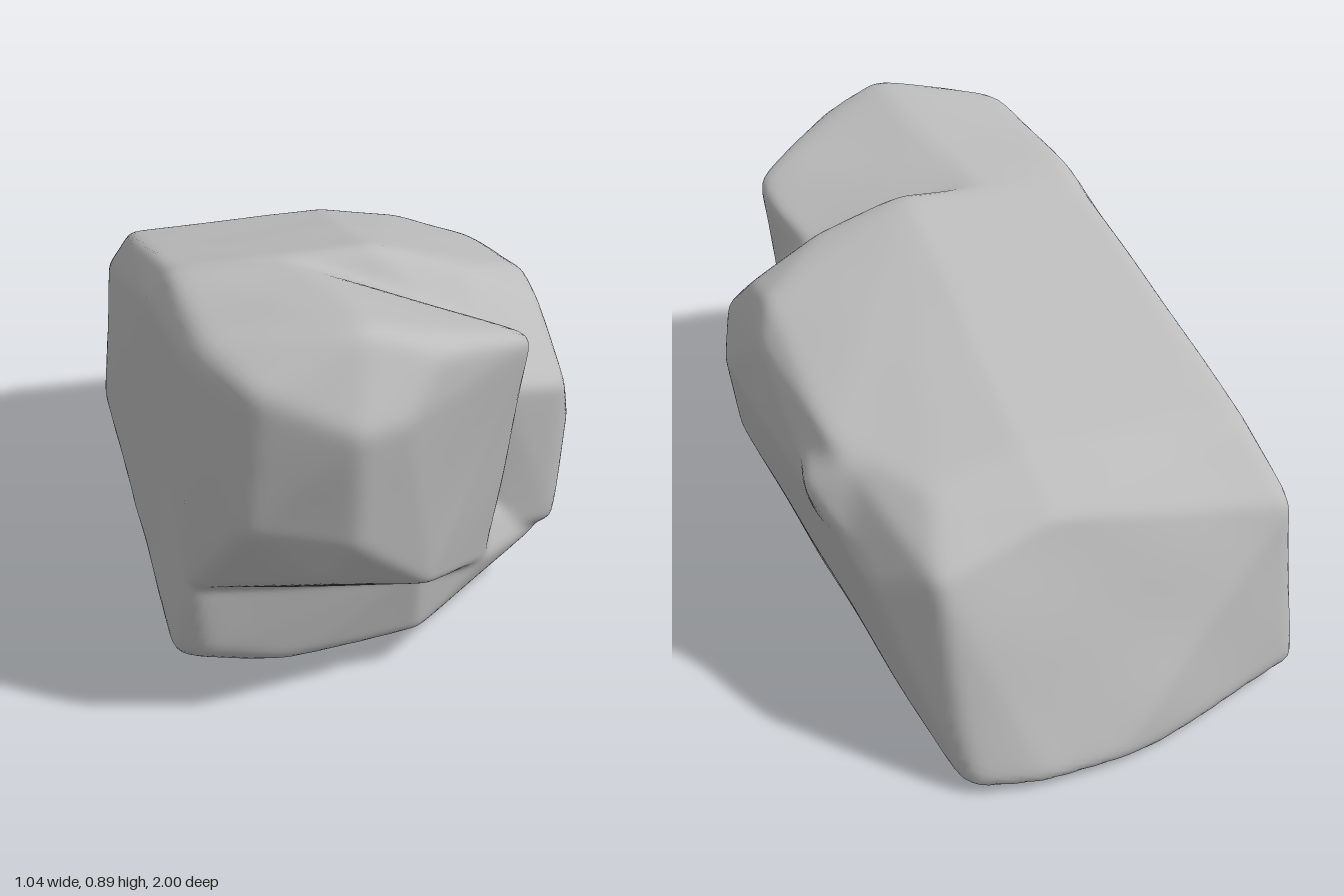
import * as THREE from 'three';
import { mergeVertices } from 'three/addons/utils/BufferGeometryUtils.js';
import { ConvexGeometry } from 'three/addons/geometries/ConvexGeometry.js';

const CENTRE = new THREE.Vector3(-0.05, 0.38, 0.05);
const ALLOWANCE = 0.004; // stone left on each face for the wear to remove

// Corner points of the overlapping blocks the boulder is cut from
const mainBlock = [
  [-0.5, 0.05, -0.87], [0.03, 0.03, -1], [0.18, 0.02, -1], [0.35, 0.02, -0.96], [-0.1, 0.01, -0.96],
  [-0.47, 0.46, -0.83], [-0.43, 0.6, -0.68], [0.1, 0.55, -0.81], [0.37, 0.48, -0.84],
  [0.1, 0.63, -0.66], [0.32, 0.59, -0.68], [0.46, 0.4, -0.7], [0.49, 0.48, -0.45],
  [0.45, 0.61, -0.42], [0.47, 0.64, 0], [0.42, 0.7, 0.1], [0.34, 0.01, 0.05],
  [0.41, 0.19, 0.43], [0.46, 0.42, 0.36], [0.42, 0.53, 0.44], [0.41, 0.67, 0.25],
  [0.25, 0.19, 0.47], [0.25, 0.57, 0.51], [0.22, 0.77, 0.27], [0, 0.84, 0.26],
  [-0.45, 0.82, 0.26], [-0.51, 0.04, 0.4], [-0.5, 0.75, 0.26],
];
const sideKnob = [
  [0.525, 0.53, -0.45], [0.48, 0.54, -0.33], [0.47, 0.44, -0.6], [0.44, 0.6, -0.5], [0.48, 0.42, -0.38],
  [0.2, 0.2, 0.2], [0.2, 0.6, 0.2], [-0.2, 0.3, 0.2], [-0.2, 0.5, 0.2], [-0.2, 0.3, -0.2], [-0.2, 0.5, -0.2],
];
const lowerLedge = [
  [-0.525, 0.05, 0.6], [-0.48, 0.1, 0.7], [-0.3, 0.06, 0.7], [0, 0.1, 0.7],
  [0.2, 0.18, 0.57], [-0.5, 0.26, 0.71], [0, 0.26, 0.73], [0.34, 0.06, 0.3],
  [0.38, 0.16, 0.4], [-0.5, 0.03, -0.2], [0.32, 0.02, -0.1], [-0.45, 0.5, -0.2],
  [0.4, 0.5, -0.2], [-0.5, 0.4, 0.5], [0.1, 0.35, 0.6],
];
const frontBlock = [
  [-0.2, 0.72, 1.005], [-0.2, 0.47, 0.97], [-0.1, 0.72, 0.965], [-0.25, 0.36, 0.9],
  [-0.4, 0.8, 0.935], [-0.42, 0.5, 0.92], [-0.5, 0.82, 0.77], [-0.5, 0.28, 0.72],
  [0, 0.83, 0.88], [0, 0.27, 0.8], [0.255, 0.76, 0.675], [0.2, 0.18, 0.57],
  [0.255, 0.72, 0.56], [0.2, 0.2, 0.46], [-0.16, 0.905, 0.9], [-0.47, 0.86, 0.77],
  [-0.15, 0.865, 0.6], [-0.46, 0.83, 0.3], [-0.2, 0.83, 0.3], [0.2, 0.66, 0.35],
  [-0.5, 0.74, 0.2], [0.1, 0.6, 0], [-0.5, 0.2, 0.2], [0.1, 0.1, 0], [-0.45, 0.7, 0],
];

// Face planes of the convex block around a set of corners
function blockPlanes(points) {
  const p = new ConvexGeometry(points.map(c => new THREE.Vector3(...c).sub(CENTRE))).attributes.position;
  const planes = [];
  for (let i = 0; i < p.count; i += 3) {
    const [a, b, c] = [0, 1, 2].map(k => new THREE.Vector3().fromBufferAttribute(p, i + k));
    const n = b.clone().sub(a).cross(c.sub(a)).normalize();
    if (n.lengthSq() > 0.5) planes.push({ n, d: n.dot(a) + ALLOWANCE });
  }
  return planes;
}

// Distance from the centre to the outside of one block
function reach(planes, dir) {
  let r = 3;
  for (const { n, d } of planes) {
    const k = n.dot(dir);
    if (k > 1e-4) r = Math.min(r, d / k);
  }
  return r;
}

// Averages each vertex with its neighbours to wear down the edges
function wear(geometry, passes) {
  const pos = geometry.attributes.position, index = geometry.index.array;
  for (let pass = 0; pass < passes; pass++) {
    const sum = new Float32Array(pos.count * 3), count = new Float32Array(pos.count);
    for (let t = 0; t < index.length; t += 3) {
      for (let k = 0; k < 3; k++) {
        const a = index[t + k], b = index[t + (k + 1) % 3];
        for (let c = 0; c < 3; c++) sum[a * 3 + c] += pos.getComponent(b, c);
        count[a]++;
      }
    }
    for (let i = 0; i < pos.count; i++)
      for (let c = 0; c < 3; c++)
        pos.setComponent(i, c, 0.4 * pos.getComponent(i, c) + 0.6 * sum[i * 3 + c] / count[i]);
  }
}

export function createModel() {
  const group = new THREE.Group();
  group.name = 'boulder';
  const stone = new THREE.MeshStandardMaterial({ color: 0xbcbcbc });
  stone.name = 'grey stone';

  let geometry = new THREE.IcosahedronGeometry(1, 54);
  geometry.deleteAttribute('uv');
  geometry.deleteAttribute('normal');
  geometry = mergeVertices(geometry, 1e-4);

  // Push a sphere out to the union of the blocks, with a little unevenness
  const blocks = [mainBlock, sideKnob, lowerLedge, frontBlock].map(blockPlanes);
  const pos = geometry.attributes.position, v = new THREE.Vector3();
  for (let i = 0; i < pos.count; i++) {
    v.fromBufferAttribute(pos, i);
    v.set(v.x * 0.55, v.y * 0.45, v.z).normalize();
    v.multiplyScalar(Math.max(...blocks.map(b => reach(b, v))));
    const bump = Math.sin(9 * v.x + 4 * v.z) * Math.sin(11 * v.y - 5 * v.x + 1) * Math.cos(8 * v.z + 3 * v.y);
    v.multiplyScalar(1 + 0.006 * bump).add(CENTRE);
    pos.setXYZ(i, v.x, v.y, v.z);
  }
  wear(geometry, 4);

  // Rest the stone on the ground
  geometry.computeBoundingBox();
  geometry.translate(0, -geometry.boundingBox.min.y, 0);
  geometry.computeVertexNormals();

  const rock = new THREE.Mesh(geometry, stone);
  rock.name = 'rock';
  group.add(rock);
  return group;
}
